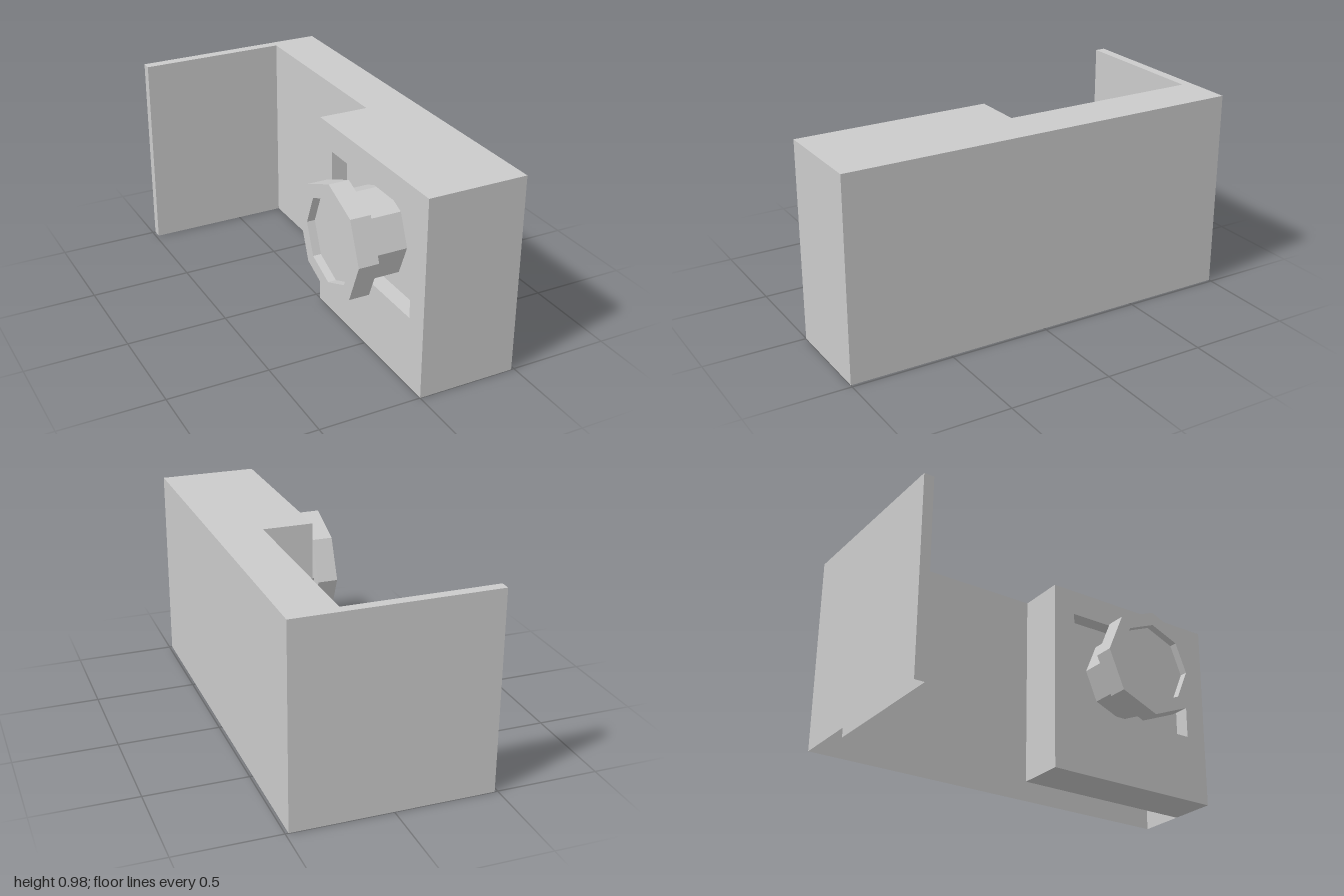
import * as THREE from 'three';

const H = 0.98;
const material = new THREE.MeshStandardMaterial({ color: 0xcccccc, flatShading: true, side: THREE.DoubleSide });

export function createModel() {
  const model = new THREE.Group();
  const add = (name, geometry, parent = model) => {
    const mesh = new THREE.Mesh(geometry, material);
    mesh.name = name;
    parent.add(mesh);
    return mesh;
  };
  const rect = (Type, u0, v0, u1, v1) => new Type([
    new THREE.Vector2(u0, v0), new THREE.Vector2(u1, v0),
    new THREE.Vector2(u1, v1), new THREE.Vector2(u0, v1)]);

  // Plan outline of the hollow housing as (x, z), starting at the front
  const plan = [[0, 1], [0.485, 1], [0.485, -1], [-0.485, -1],
    [-0.485, -0.95], [0.245, -0.95], [0.245, 0.04], [0, 0.04]];
  const pocket = { z0: 0.16, z1: 0.885, y0: 0.35, y1: 0.85, depth: 0.08 };

  const housing = new THREE.Group();
  housing.name = 'housing';
  model.add(housing);

  // Walls: one upright panel per outline edge; the last has the pocket opening
  plan.forEach(([x, z], i) => {
    const [bx, bz] = plan[(i + 1) % plan.length];
    const shape = rect(THREE.Shape, 0, 0, Math.hypot(bx - x, bz - z), H);
    if (i === plan.length - 1) {
      shape.holes.push(rect(THREE.Path, pocket.z0 - z, pocket.y0, pocket.z1 - z, pocket.y1));
    }
    const wall = add('wall', new THREE.ShapeGeometry(shape), housing);
    wall.position.set(x, 0, z);
    wall.rotation.y = Math.atan2(z - bz, bx - x);
  });

  // Top cover
  const cover = new THREE.Shape(plan.map(([x, z]) => new THREE.Vector2(x, -z)));
  add('topCover', new THREE.ShapeGeometry(cover).rotateX(-Math.PI / 2).translate(0, H, 0), housing);

  // Floor under the bulge only; the rest of the underside is open
  const floor = rect(THREE.Shape, 0, 0.04, 0.245, 1);
  add('floor', new THREE.ShapeGeometry(floor).rotateX(Math.PI / 2), housing);

  // Pocket: an inside-out box without its outer side
  const box = new THREE.BoxGeometry(pocket.depth, pocket.y1 - pocket.y0, pocket.z1 - pocket.z0);
  box.setIndex(Array.from(box.index.array).slice(6));
  box.clearGroups();
  box.scale(-1, -1, -1);
  box.computeVertexNormals();
  box.translate(pocket.depth / 2, (pocket.y0 + pocket.y1) / 2, (pocket.z0 + pocket.z1) / 2);
  add('pocket', box, housing);

  // Eight-sided knob: a drum in the pocket and a wider dished wheel
  const knob = new THREE.Group();
  knob.name = 'knob';
  knob.position.set(0, 0.596, 0.505);
  knob.rotation.z = Math.PI / 2;
  model.add(knob);
  const turned = (name, profile) => add(name,
    new THREE.LatheGeometry(profile.map(([r, h]) => new THREE.Vector2(r, h)), 8), knob);
  turned('knobDrum', [[0, -0.078], [0.215, -0.078], [0.215, 0.1]]);
  turned('knobWheel', [[0, 0.1], [0.28, 0.1], [0.28, 0.2], [0.21, 0.2], [0.21, 0.16], [0, 0.16]]);

  return model;
}
